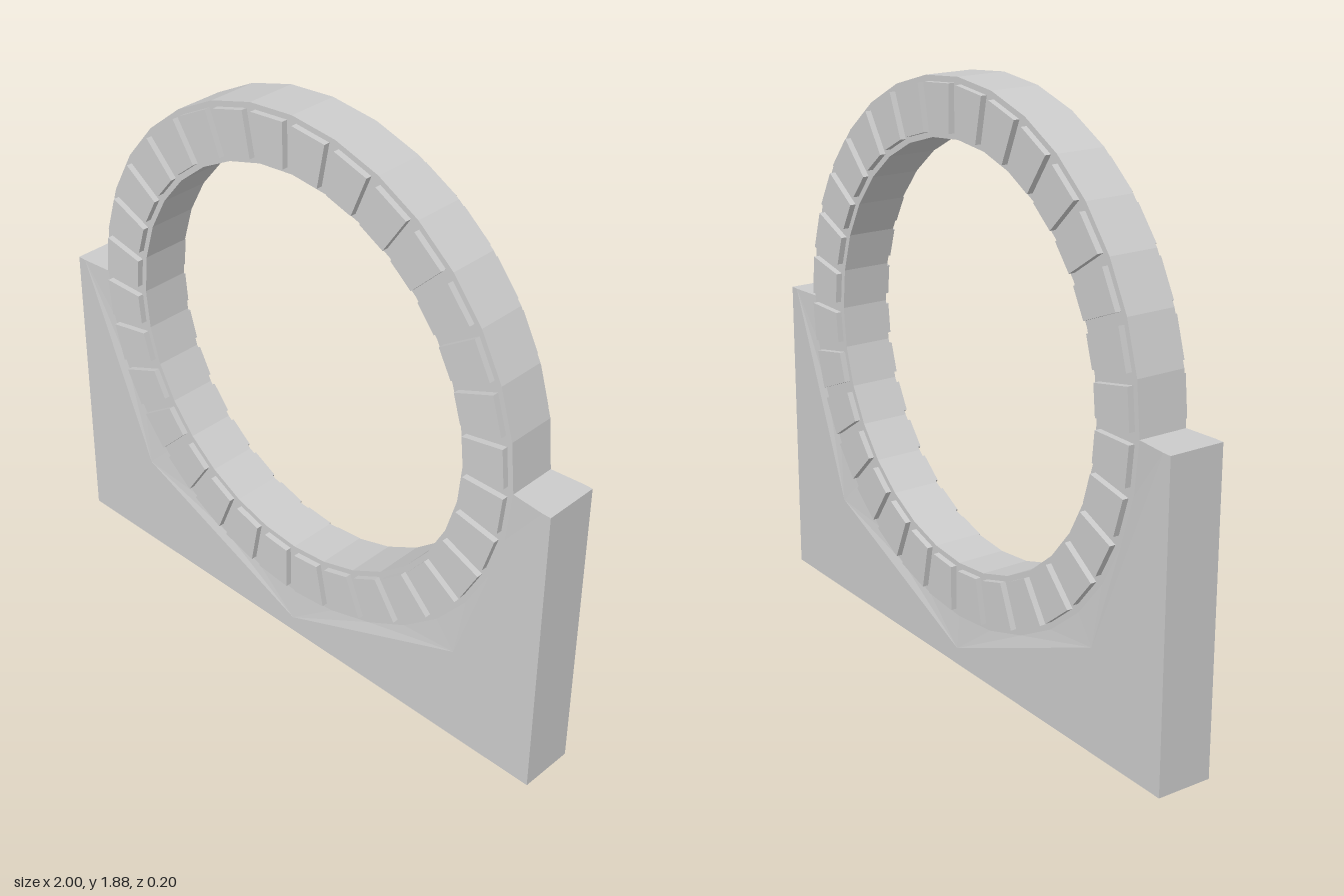
import * as THREE from 'three';

const CENTER_Y = 1.025, SIDES = 32, STEP = (Math.PI * 2) / SIDES;
const R_IN = 0.675, R_OUT = 0.86, R_DISH = 0.97;
const RING_Z = 0.0825, BASE_Z = 0.0925, BLOCK_Z = 0.1025;

const material = new THREE.MeshStandardMaterial({ color: 0xcccccc, flatShading: true });

// Points on the faceted circle, from segment a to segment b
function arc(radius, a, b) {
  const points = [];
  const dir = Math.sign(b - a);
  for (let i = a; i !== b + dir; i += dir) {
    points.push(new THREE.Vector2(Math.cos(i * STEP) * radius, Math.sin(i * STEP) * radius));
  }
  return points;
}

// Straight extrusion between two z planes
function slab(points, z0, z1, hole) {
  const shape = new THREE.Shape(points);
  if (hole) shape.holes.push(new THREE.Path(hole));
  return new THREE.ExtrudeGeometry(shape, { depth: z1 - z0, bevelEnabled: false }).translate(0, 0, z0);
}

export function createModel() {
  const model = new THREE.Group();
  model.name = 'ringOnBase';
  const assembly = new THREE.Group();
  assembly.name = 'assembly';
  assembly.position.y = CENTER_Y;
  model.add(assembly);

  const add = (parent, name, geometry) => {
    const mesh = new THREE.Mesh(geometry, material);
    mesh.name = name;
    parent.add(mesh);
    return mesh;
  };

  // Faceted ring
  add(assembly, 'ring', slab(arc(R_OUT, 0, SIDES - 1), -RING_Z, RING_Z, arc(R_IN, 0, SIDES - 1)));

  // Base plate with a half-round notch
  const outline = [
    new THREE.Vector2(-1, 0), new THREE.Vector2(-1, -CENTER_Y),
    new THREE.Vector2(1, -CENTER_Y), new THREE.Vector2(1, 0),
    ...arc(R_DISH, SIDES, SIDES / 2),
  ];
  add(assembly, 'base', slab(outline, -BASE_Z, BASE_Z));

  // Shallow sloping band that leads from the base down to the ring
  const band = slab([...arc(R_DISH, SIDES / 2, SIDES), ...arc(R_OUT, SIDES, SIDES / 2)], -BASE_Z, BASE_Z);
  const p = band.attributes.position;
  for (let i = 0; i < p.count; i++) {
    if (Math.hypot(p.getX(i), p.getY(i)) < (R_OUT + R_DISH) / 2) p.setZ(i, Math.sign(p.getZ(i)) * RING_Z);
  }
  band.computeVertexNormals();
  add(assembly, 'slopingBand', band);

  // Raised wedge blocks: one ring segment, inset evenly on all sides
  const inset = 0.018, half = STEP / 2;
  const near = R_IN * Math.cos(half) + inset, far = R_OUT * Math.cos(half) - inset;
  const halfWidth = (r) => r * Math.tan(half) - inset / Math.cos(half);
  const wedge = [
    new THREE.Vector2(near, -halfWidth(near)), new THREE.Vector2(far, -halfWidth(far)),
    new THREE.Vector2(far, halfWidth(far)), new THREE.Vector2(near, halfWidth(near)),
  ];
  for (const [name, z0, z1] of [['frontBlocks', RING_Z, BLOCK_Z], ['backBlocks', -BLOCK_Z, -RING_Z]]) {
    const blocks = new THREE.Group();
    blocks.name = name;
    assembly.add(blocks);
    const geometry = slab(wedge, z0, z1);
    for (let i = 0; i < SIDES; i++) add(blocks, 'block', geometry).rotation.z = (i + 0.5) * STEP;
  }
  return model;
}
